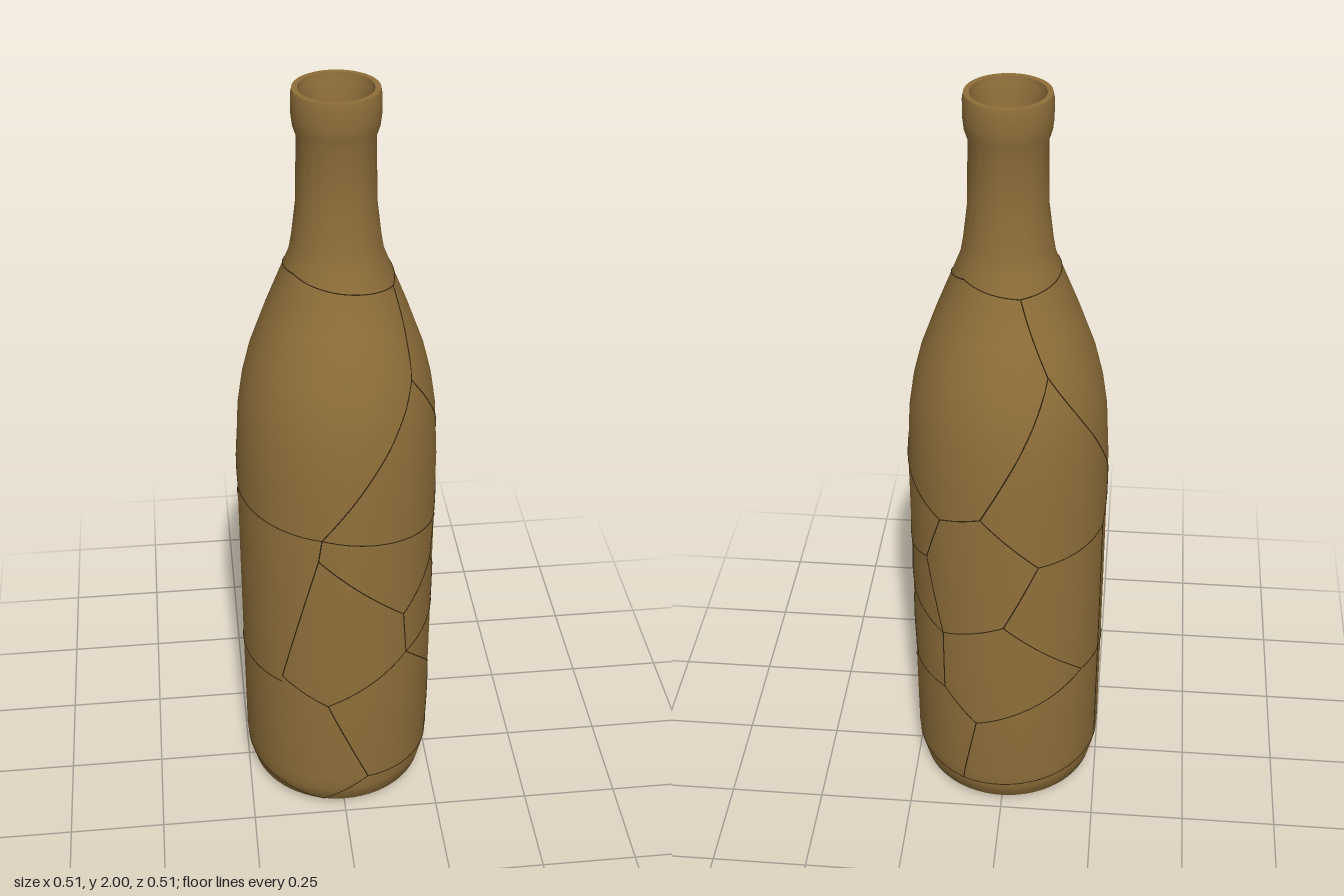
import * as THREE from 'three';
import { toCreasedNormals } from 'three/addons/utils/BufferGeometryUtils.js';

// Outer wall from base to lip, as [radius, height]
const OUTER = [
  [0.2, 0], [0.208, 0.008], [0.234, 0.03], [0.245, 0.075], [0.251, 0.12], [0.252, 0.5], [0.252, 1.04],
  [0.244, 1.18], [0.232, 1.26], [0.212, 1.34], [0.172, 1.45], [0.112, 1.6], [0.105, 1.64],
  [0.094, 1.73], [0.091, 1.89], [0.099, 1.915], [0.102, 1.94], [0.102, 1.985], [0.099, 2],
];
// Inner wall from lip down to the floor
const INNER = [
  [0.086, 2], [0.084, 1.985], [0.076, 1.96], [0.075, 1.73], [0.09, 1.6],
  [0.152, 1.45], [0.192, 1.34], [0.224, 1.18], [0.232, 1.04], [0.232, 0.1], [0.215, 0.04], [0.19, 0.02],
];

// Crack junctions on the outer wall: [degrees from front towards +x, height]
const NODES = {
  a: [-14, 0.935], b: [49, 1.32], c: [65, 1.53], d: [-85, 0.955], e: [-16, 0.87], f: [37, 0.65],
  g: [40, 0.515], h: [-40, 0.46], i: [-11, 0.39], j: [14, 0.12], k: [66, 0.1], l: [97, 1.04],
  m: [74, 0.86], n: [143, 0.96], o: [130, 0.81], p: [66, 0.75], q: [108, 0.78], r: [81, 0.68],
  s: [101, 0.68], t: [111, 0.63], u: [143, 0.59], v: [74, 0.56], w: [95, 0.55], x: [111, 0.4],
  y: [85, 0.32], z: [143, 0.4],
  A: [130, 1.57], B: [197, 1.55], C: [212, 1.37], D: [169, 1], E: [275, 0.96], F: [202, 0.85],
  G: [257, 0.86], H: [182, 0.66], I: [235, 0.44], J: [257, 0.44], K: [165, 0.31], L: [155, 0.08],
  M: [-14, 0.03], N: [300, 1.575], O: [257, 0.1], P: [320, 0.44], Q: [425, 1.53],
};
// Each word is a run of joined junctions
const RUNS = ('Ed da ab bc cABNQ ae ef fg eh hi ig ij jk jM bl lm am ln no mp pf mq qo pr rs sq st tu uo ' +
  'rv vg vw wt wx xy yg yk xz zu nD BC CD CE DF FG GE FH Hu HI IJ JP GJ JO IK Kz KL Lk LO OM').split(' ');

function radiusAt(y) {
  for (let i = 1; i < OUTER.length; i++) {
    const [r0, y0] = OUTER[i - 1], [r1, y1] = OUTER[i];
    if (y <= y1) return r0 + (r1 - r0) * (y - y0) / (y1 - y0);
  }
  return OUTER[OUTER.length - 1][0];
}

// Hairline following the wall between two junctions
function crack([a0, y0], [a1, y1], material) {
  const steps = Math.max(4, Math.ceil(Math.abs(a1 - a0) / 5), Math.ceil(Math.abs(y1 - y0) / 0.05));
  const points = [];
  for (let i = 0; i <= steps; i++) {
    const t = i / steps, y = y0 + (y1 - y0) * t;
    const a = THREE.MathUtils.degToRad(a0 + (a1 - a0) * t), r = radiusAt(y);
    points.push(new THREE.Vector3(r * Math.sin(a), y, r * Math.cos(a)));
  }
  const curve = new THREE.CatmullRomCurve3(points);
  const mesh = new THREE.Mesh(new THREE.TubeGeometry(curve, steps * 2, 0.0017, 4), material);
  mesh.name = 'crack';
  return mesh;
}

export function createModel() {
  const bottle = new THREE.Group();
  bottle.name = 'crackedBottle';
  const glass = new THREE.MeshStandardMaterial({ color: 0x8f6f3a });
  const dark = new THREE.MeshStandardMaterial({ color: 0x35270f });

  // Hollow shell: base, outer wall, lip, inner wall and floor in one turn
  const profile = [[0, 0], ...OUTER, ...INNER, [0, 0.02]].map(([r, y]) => new THREE.Vector2(r, y));
  const shell = new THREE.Mesh(toCreasedNormals(new THREE.LatheGeometry(profile, 64), 0.65), glass);
  shell.name = 'bottleShell';
  bottle.add(shell);

  // Fracture lines
  const cracks = new THREE.Group();
  cracks.name = 'cracks';
  for (const run of RUNS) {
    for (let i = 1; i < run.length; i++) {
      const from = NODES[run[i - 1]];
      let [angle, y] = NODES[run[i]];
      // Take the short way round
      while (angle - from[0] > 180) angle -= 360;
      while (angle - from[0] < -180) angle += 360;
      cracks.add(crack(from, [angle, y], dark));
    }
  }
  bottle.add(cracks);
  return bottle;
}
